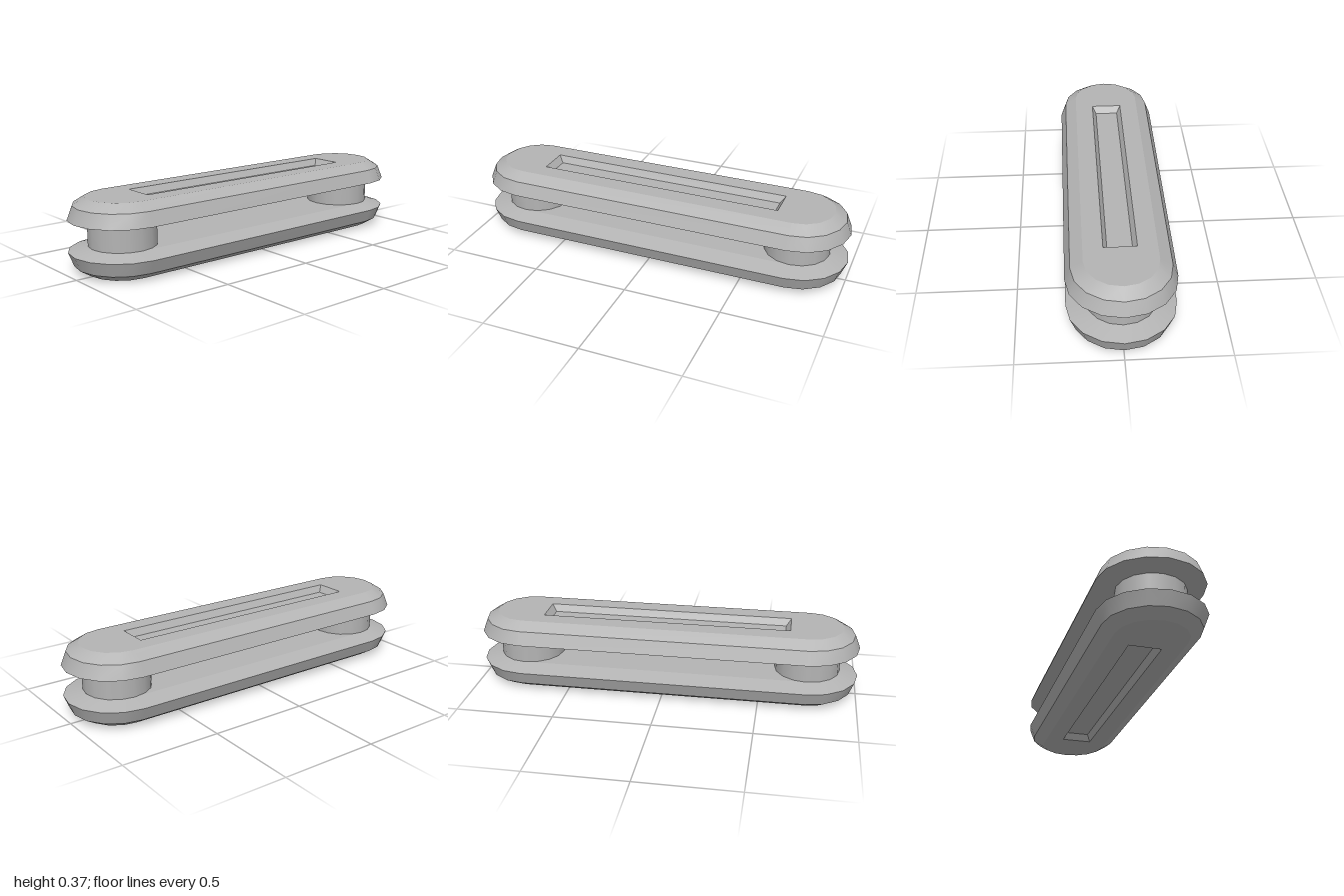
import * as THREE from 'three';

const END_X = 0.74, HALF_H = 0.185, STEPS = 8;

// Stadium outline of half-width r, counter-clockwise seen from above
function stadium(r) {
  const pts = [];
  for (const side of [1, -1]) {
    for (let i = 0; i <= STEPS; i++) {
      const t = -Math.PI / 2 + (i / STEPS) * Math.PI;
      pts.push(new THREE.Vector2(side * (END_X + r * Math.cos(t)), side * r * Math.sin(t)));
    }
  }
  return pts;
}

const rectangle = (x, z) => [[x, -z], [x, z], [-x, z], [-x, -z]].map(p => new THREE.Vector2(...p));

// Closed band of faces between two outlines at different heights
function band(lower, y0, upper, y1) {
  const pos = [], index = [], n = lower.length;
  lower.forEach(p => pos.push(p.x, y0, -p.y));
  upper.forEach(p => pos.push(p.x, y1, -p.y));
  for (let i = 0; i < n; i++) {
    const j = (i + 1) % n;
    index.push(i, j, n + j, i, n + j, n + i);
  }
  const geo = new THREE.BufferGeometry();
  geo.setAttribute('position', new THREE.Float32BufferAttribute(pos, 3));
  geo.setIndex(index);
  return geo;
}

function smooth(geo) {
  geo.computeVertexNormals();
  return geo;
}

function add(parent, name, geo, material) {
  const mesh = new THREE.Mesh(geo, material);
  mesh.name = name;
  parent.add(mesh);
  return mesh;
}

// One side plate, heights measured from the middle of the model
function makePlate(material) {
  const plate = new THREE.Group();
  const profile = [
    ['innerBevel', 0.167, 0.055], ['outerRim', 0.262, 0.079],
    ['outerBevel', 0.235, 0.148], ['', 0.175, HALF_H],
  ];
  for (let i = 0; i < 3; i++) {
    const [name, r0, y0] = profile[i], [, r1, y1] = profile[i + 1];
    add(plate, name, smooth(band(stadium(r0), y0, stadium(r1), y1)), material);
  }

  // Flat inner face
  const inner = new THREE.ShapeGeometry(new THREE.Shape(stadium(0.167)));
  add(plate, 'innerFace', inner.rotateX(Math.PI / 2).translate(0, 0.055, 0), material);

  // Flat outer face around the recessed slot
  const outer = new THREE.Shape(stadium(0.175));
  outer.holes.push(new THREE.Path(rectangle(0.645, 0.08).reverse()));
  add(plate, 'outerFace',
    new THREE.ShapeGeometry(outer).rotateX(-Math.PI / 2).translate(0, HALF_H, 0), material);

  // Sloped slot walls and floor
  const floorY = HALF_H - 0.035;
  const walls = band(rectangle(0.645, 0.08), HALF_H, rectangle(0.62, 0.06), floorY);
  add(plate, 'slotWalls', smooth(walls.toNonIndexed()), material);
  add(plate, 'slotFloor',
    new THREE.PlaneGeometry(1.24, 0.12).rotateX(-Math.PI / 2).translate(0, floorY, 0), material);
  return plate;
}

export function createModel() {
  const model = new THREE.Group();
  model.name = 'doublePlateLink';
  const grey = new THREE.MeshStandardMaterial({ color: 0xb4b4b4 });
  grey.name = 'light grey';

  // Matching plates, the lower one turned over
  for (const [name, turn] of [['upperPlate', 0], ['lowerPlate', Math.PI]]) {
    const plate = makePlate(grey);
    plate.name = name;
    plate.position.y = HALF_H;
    plate.rotation.x = turn;
    model.add(plate);
  }

  // Round pins joining the plates
  for (const [name, side] of [['leftPin', 1], ['rightPin', -1]]) {
    const pin = add(model, name, new THREE.CylinderGeometry(0.168, 0.168, 0.11, 16, 1, true), grey);
    pin.position.set(side * END_X, HALF_H, 0);
  }
  return model;
}
